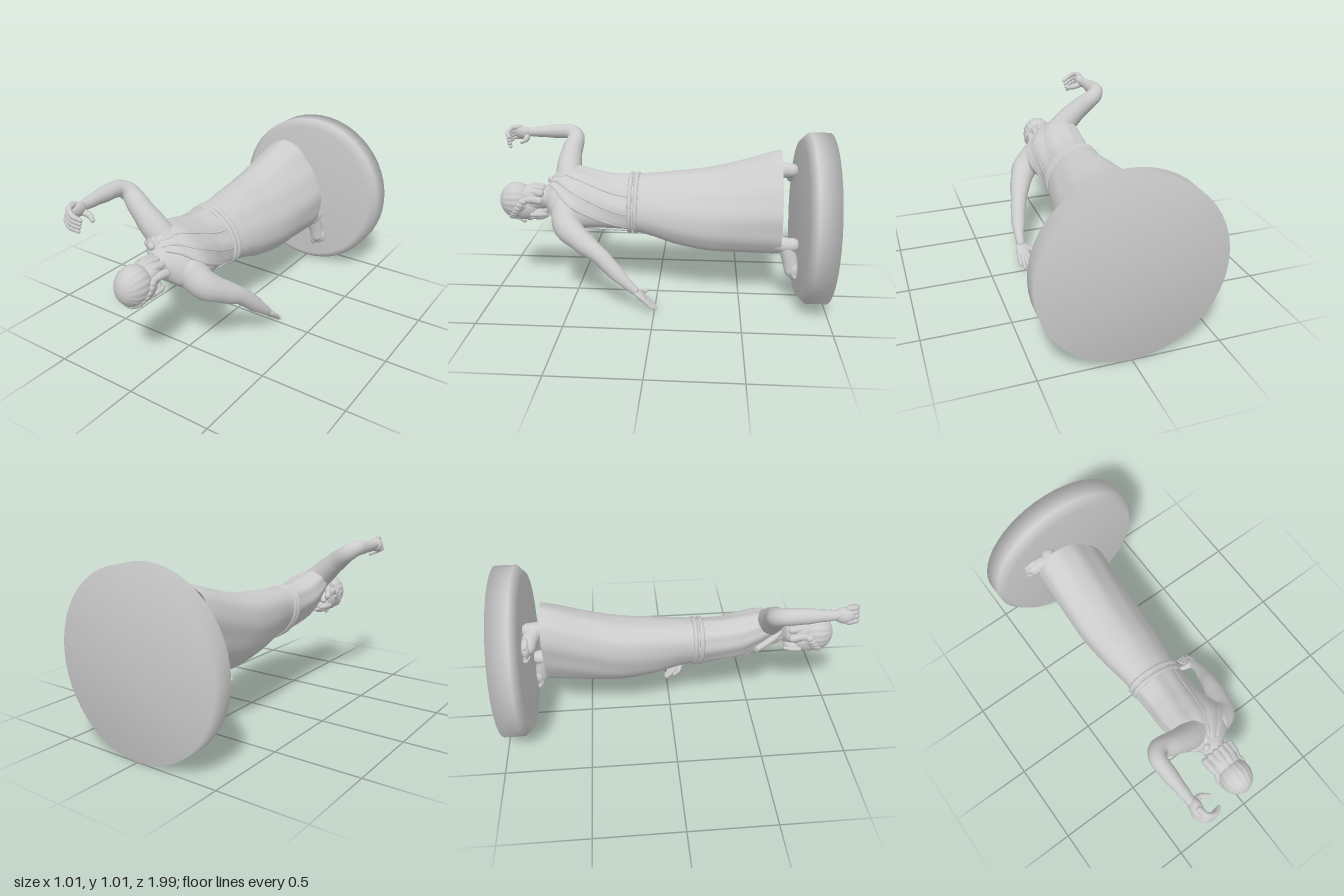
import * as THREE from 'three';
import { ParametricGeometry } from 'three/addons/geometries/ParametricGeometry.js';

const V = (p) => new THREE.Vector3(p[0], p[1], p[2]);
const material = new THREE.MeshStandardMaterial({ color: 0xcccccc, side: THREE.DoubleSide });

function add(parent, name, geometry) {
  const mesh = new THREE.Mesh(geometry, material);
  mesh.name = name;
  parent.add(mesh);
  return mesh;
}

function ball(parent, name, pos, size, rot = [0, 0, 0], detail = 18) {
  const mesh = add(parent, name, new THREE.SphereGeometry(1, detail, Math.ceil(detail * 0.6)));
  mesh.position.set(...pos);
  mesh.scale.set(...size);
  mesh.rotation.set(...rot);
}

// Smooth limb through points [x, y, z, radius], with rounded ends
function limb(parent, name, pts, radial = 20) {
  const group = new THREE.Group();
  group.name = name;
  const curve = new THREE.CatmullRomCurve3(pts.map(V));
  const n = pts.length * 6;
  const geo = new THREE.TubeGeometry(curve, n, 1, radial);
  const pos = geo.attributes.position;
  const p = new THREE.Vector3();
  for (let i = 0; i <= n; i++) {
    const c = curve.getPointAt(i / n);
    const t = curve.getUtoTmapping(i / n) * (pts.length - 1);
    const k = Math.min(Math.floor(t), pts.length - 2);
    const r = THREE.MathUtils.lerp(pts[k][3], pts[k + 1][3], THREE.MathUtils.smoothstep(t - k, 0, 1));
    for (let j = 0; j <= radial; j++) {
      const id = i * (radial + 1) + j;
      p.fromBufferAttribute(pos, id).sub(c).multiplyScalar(r).add(c);
      pos.setXYZ(id, p.x, p.y, p.z);
    }
  }
  add(group, name + 'Surface', geo);
  for (const e of [pts[0], pts[pts.length - 1]]) ball(group, name + 'End', e, [e[3], e[3], e[3]], [0, 0, 0], radial);
  parent.add(group);
}

// Body cross-sections along z: [z, cx, cy, half width, half depth, tilt in degrees]
const skirtRows = [
  [-0.73, -0.045, 0.595, 0.31, 0.185, -64], [-0.5, -0.055, 0.56, 0.28, 0.182, -60],
  [-0.3, -0.06, 0.535, 0.258, 0.178, -54], [-0.1, -0.06, 0.54, 0.23, 0.162, -50],
  [0.05, -0.06, 0.555, 0.2, 0.14, -46], [0.15, -0.065, 0.56, 0.185, 0.13, -45],
];
const torsoRows = [
  [0.13, -0.065, 0.56, 0.18, 0.125, -45], [0.28, -0.065, 0.565, 0.175, 0.12, -45],
  [0.4, -0.055, 0.58, 0.19, 0.125, -42], [0.5, -0.035, 0.595, 0.208, 0.118, -42],
  [0.57, -0.03, 0.6, 0.2, 0.1, -43], [0.63, -0.035, 0.6, 0.15, 0.082, -44],
  [0.68, -0.05, 0.59, 0.075, 0.065, -44],
];

// Point on a body surface at angle t (0 left, 90 degrees back, 180 right)
function bodyPoint(rows, v, t, offset, target) {
  const s = v * (rows.length - 1);
  const k = Math.min(Math.floor(s), rows.length - 2);
  const f = s - k;
  const row = rows[k].map((_, i) => {
    const a = rows[Math.max(k - 1, 0)][i], b = rows[k][i];
    const c = rows[k + 1][i], d = rows[Math.min(k + 2, rows.length - 1)][i];
    return i === 0 ? b + (c - b) * f
      : b + 0.5 * f * (c - a + f * (2 * a - 5 * b + 4 * c - d + f * (3 * (b - c) + d - a)));
  });
  const [z, cx, cy, a, b, deg] = row;
  const tilt = THREE.MathUtils.degToRad(deg);
  const x = (a + offset) * Math.cos(t), y = (b + offset) * Math.sin(t);
  return target.set(cx + x * Math.cos(tilt) - y * Math.sin(tilt),
    cy + x * Math.sin(tilt) + y * Math.cos(tilt), z);
}

function buildBody(g) {
  const TAU = Math.PI * 2;
  // Long skirt with soft folds that fade out at the waist
  add(g, 'skirt', new ParametricGeometry((u, v, p) => {
    const t = u * TAU;
    const fold = (1 - v) * (0.004 * Math.cos(5 * t + v * 3) + 0.002 * Math.cos(11 * t));
    bodyPoint(skirtRows, v, t, fold, p);
  }, 96, 32));
  add(g, 'torso', new ParametricGeometry((u, v, p) => bodyPoint(torsoRows, v, u * TAU, 0, p), 56, 40));
  // One-shoulder drape: wraps the waist and narrows towards the right shoulder
  const drapeEdge = (v) => 0.1 + 2.0 * Math.pow(v, 1.3);
  add(g, 'shoulderDrape', new ParametricGeometry((u, v, p) => {
    const h = v * 0.88, e = drapeEdge(h);
    const t = e + u * (TAU - 2 * e);
    bodyPoint(torsoRows, h, t, 0.007 + 0.003 * Math.cos(u * 50), p);
  }, 96, 32));
  for (const side of [1, -1]) {
    for (const [f, r] of [[0, 0.008], [0.2, 0.006], [0.42, 0.005]]) {
      const pts = [];
      for (let i = 0; i <= 7; i++) {
        const v = (i / 7) * 0.88;
        const e = THREE.MathUtils.lerp(drapeEdge(v), Math.PI, f);
        const q = bodyPoint(torsoRows, v, side * e, 0.005, new THREE.Vector3());
        pts.push([q.x, q.y, q.z, r]);
      }
      limb(g, 'drapeFold', pts, 8);
    }
  }
  // Double belt
  for (const v of [0, 0.04]) {
    const pts = [];
    for (let i = 0; i < 32; i++)
      pts.push(bodyPoint(torsoRows, v, (i / 32) * TAU, 0.004, new THREE.Vector3()));
    const belt = new THREE.CatmullRomCurve3(pts, true);
    add(g, 'belt', new THREE.TubeGeometry(belt, 80, 0.015, 10, true));
  }
  // Shoulder knot with gathered cloth
  ball(g, 'shoulderKnot', [-0.1, 0.683, 0.66], [0.023, 0.023, 0.022]);
  for (const s of [0, 0.03]) {
    limb(g, 'knotGather', [[-0.25 + s, 0.62 - s, 0.48, 0.018], [-0.18 + s * 0.7, 0.655 - s * 0.5, 0.6, 0.02],
      [-0.1, 0.68, 0.645, 0.016]], 12);
    limb(g, 'knotGather', [[-0.1, 0.68, 0.645, 0.016], [-0.05 + s, 0.715 - s, 0.6, 0.018],
      [-0.02 + s, 0.72 - s, 0.5, 0.01]], 12);
  }
}

function buildHead(g) {
  const head = new THREE.Group();
  head.name = 'head';
  g.add(head);
  limb(head, 'neck', [[-0.05, 0.6, 0.6, 0.08], [-0.05, 0.585, 0.68, 0.064], [-0.05, 0.56, 0.78, 0.066]]);
  ball(head, 'face', [-0.05, 0.525, 0.825], [0.074, 0.085, 0.115], [0, 0, 0], 28);
  // Hair cap with fine ridges running out from the crown
  const cap = add(head, 'hair', new ParametricGeometry((u, v, p) => {
    const a = u * Math.PI * 2, b = Math.PI * (0.995 - 0.99 * v);
    const r = 1 + 0.012 * Math.sin(b) * Math.cos(18 * a);
    p.set(r * Math.sin(b) * Math.cos(a), r * Math.sin(b) * Math.sin(a), Math.cos(b));
  }, 108, 20));
  cap.position.set(-0.05, 0.562, 0.868);
  cap.scale.set(0.095, 0.112, 0.104);
  // Rolled locks from brow to temples, and waves gathered at the nape
  for (let i = 0; i < 17; i++) {
    const a = Math.PI + ((i - 1) / 14) * Math.PI;
    ball(head, 'hairLock', [-0.05 + 0.085 * Math.cos(a), 0.555 + 0.09 * Math.sin(a), 0.83 - 0.07 * Math.sin(a)],
      [0.018, 0.02, 0.026], [0, 0, 0], 12);
  }
  ball(head, 'napeHair', [-0.05, 0.6, 0.775], [0.08, 0.06, 0.085], [0.2, 0, 0], 24);
  for (let i = 0; i < 6; i++) {
    const x = (i - 2.5) * 0.032, y = 0.648 - x * x * 9;
    limb(head, 'napeLock', [[-0.05 + x * 0.9, y - 0.01, 0.82, 0.016], [-0.05 + x, y, 0.755, 0.024],
      [-0.05 + x * 1.05, y - 0.005, 0.71, 0.024]], 10);
  }
  // Features and beard
  limb(head, 'nose', [[-0.05, 0.448, 0.87, 0.009], [-0.05, 0.43, 0.83, 0.014]], 10);
  ball(head, 'mouth', [-0.05, 0.446, 0.786], [0.024, 0.011, 0.009]);
  ball(head, 'beard', [-0.05, 0.49, 0.74], [0.064, 0.045, 0.062]);
  for (const s of [-1, 1]) {
    ball(head, 'eye', [-0.05 + s * 0.03, 0.457, 0.858], [0.014, 0.01, 0.01]);
    limb(head, 'brow', [[-0.05 + s * 0.012, 0.447, 0.875, 0.008], [-0.05 + s * 0.052, 0.47, 0.875, 0.008]], 8);
    ball(head, 'ear', [-0.05 + s * 0.078, 0.545, 0.825], [0.012, 0.02, 0.03]);
    limb(head, 'moustache', [[-0.05 + s * 0.005, 0.442, 0.802, 0.01], [-0.05 + s * 0.04, 0.46, 0.775, 0.009]], 8);
  }
  for (let i = 0; i < 7; i++) {
    const x = (i - 3) * 0.019;
    limb(head, 'beardCurl', [[-0.05 + x * 1.1, 0.456 + x * x * 10, 0.765, 0.014],
      [-0.05 + x, 0.456 + x * x * 10, 0.72, 0.015], [-0.05 + x * 0.7, 0.465 + x * x * 6, 0.685, 0.011]], 8);
  }
}

function buildArms(g) {
  // Right arm, raised and bent, with a half-closed hand
  limb(g, 'rightArm', [[-0.1, 0.68, 0.55, 0.085], [-0.17, 0.75, 0.56, 0.076], [-0.26, 0.83, 0.555, 0.064],
    [-0.345, 0.895, 0.545, 0.053], [-0.38, 0.92, 0.58, 0.047], [-0.385, 0.922, 0.68, 0.044],
    [-0.382, 0.918, 0.78, 0.034], [-0.38, 0.915, 0.85, 0.028]]);
  ball(g, 'rightPalm', [-0.378, 0.91, 0.895], [0.034, 0.044, 0.058], [0, -0.15, -0.35]);
  for (let i = 0; i < 4; i++) {
    const y = 0.948 - i * 0.022, x = -0.008 * i;
    limb(g, 'rightFinger', [[-0.375 + x, y, 0.915, 0.017], [-0.36 + x, y - 0.005, 0.96, 0.016],
      [-0.318 + x, y - 0.028, 0.978, 0.0145], [-0.282 + x, y - 0.048, 0.962, 0.011]], 10);
  }
  limb(g, 'rightThumb', [[-0.375, 0.895, 0.87, 0.022], [-0.325, 0.88, 0.862, 0.017], [-0.283, 0.87, 0.882, 0.012]], 10);

  // Left arm, reaching out and down, with an open hand
  limb(g, 'leftArm', [[0.06, 0.535, 0.545, 0.09], [0.135, 0.465, 0.525, 0.083], [0.195, 0.395, 0.43, 0.066],
    [0.237, 0.325, 0.32, 0.05], [0.265, 0.245, 0.235, 0.046], [0.282, 0.17, 0.155, 0.031], [0.285, 0.135, 0.115, 0.026]]);
  ball(g, 'leftPalm', [0.282, 0.1, 0.08], [0.041, 0.02, 0.06], [-0.75, 0, 0]);
  for (let i = 0; i < 4; i++) {
    const tip = [0.018, 0.012, 0.014, 0.03][i];
    limb(g, 'leftFinger', [[0.258 + i * 0.017, 0.09, 0.065, 0.014], [0.25 + i * 0.02, 0.055, 0.028, 0.0125],
      [0.245 + i * 0.022, tip + 0.008, tip - 0.018, 0.009]], 10);
  }
  limb(g, 'leftThumb', [[0.27, 0.115, 0.09, 0.02], [0.222, 0.095, 0.075, 0.015], [0.19, 0.095, 0.045, 0.01]], 10);
}

// Foot from heel to toes, with the lower leg rising into the skirt; side is +1 for left
function buildLeg(g, side, ankle, knee, toe) {
  const name = side > 0 ? 'left' : 'right';
  const z = -0.8;
  const d = new THREE.Vector2(toe[0] - ankle[0], toe[1] - ankle[1]).normalize();
  const at = (along, across, height, r) =>
    [toe[0] - d.x * along - d.y * across * side, toe[1] - d.y * along + d.x * across * side, height, r];
  limb(g, name + 'Leg', [[...knee, -0.45, 0.06], [ankle[0] * 0.7 + knee[0] * 0.3, ankle[1] * 0.7 + knee[1] * 0.3, -0.65, 0.055],
    [...ankle, -0.75, 0.046], [...ankle, z, 0.042]]);
  limb(g, name + 'Foot', [[...ankle, -0.76, 0.042], at(0.13, 0, z + 0.01, 0.045), at(0.075, 0, z, 0.042)]);
  const forefoot = at(0.075, 0, z - 0.012, 0).slice(0, 3);
  ball(g, name + 'Forefoot', forefoot, [0.062, 0.053, 0.03], [0, 0, Math.atan2(d.y, d.x)]);
  for (let i = -2; i <= 2; i++) {
    const back = 0.007 * (i + 2), r = i === -2 ? 0.016 : 0.0125;
    limb(g, name + 'Toe', [at(0.07, i * 0.017, z - 0.008, r), at(0.035 + back, i * 0.019, z - 0.006, r),
      at(0.014 + back, i * 0.02, z - 0.016, r)], 10);
  }
}

export function createModel() {
  const model = new THREE.Group();
  model.name = 'statue';
  // Round plinth with a bevelled front edge
  const profile = [[0, -1], [0.505, -1], [0.505, -0.88], [0.46, -0.835], [0, -0.83]];
  const base = add(model, 'plinth', new THREE.LatheGeometry(profile.map((p) => new THREE.Vector2(p[0], p[1])), 48));
  base.rotation.x = Math.PI / 2;
  base.position.y = 0.505;
  buildBody(model);
  buildHead(model);
  buildArms(model);
  buildLeg(model, 1, [0.1, 0.37], [0.03, 0.46], [0.125, 0.145]);
  buildLeg(model, -1, [-0.15, 0.755], [-0.09, 0.66], [-0.325, 0.69]);
  return model;
}
